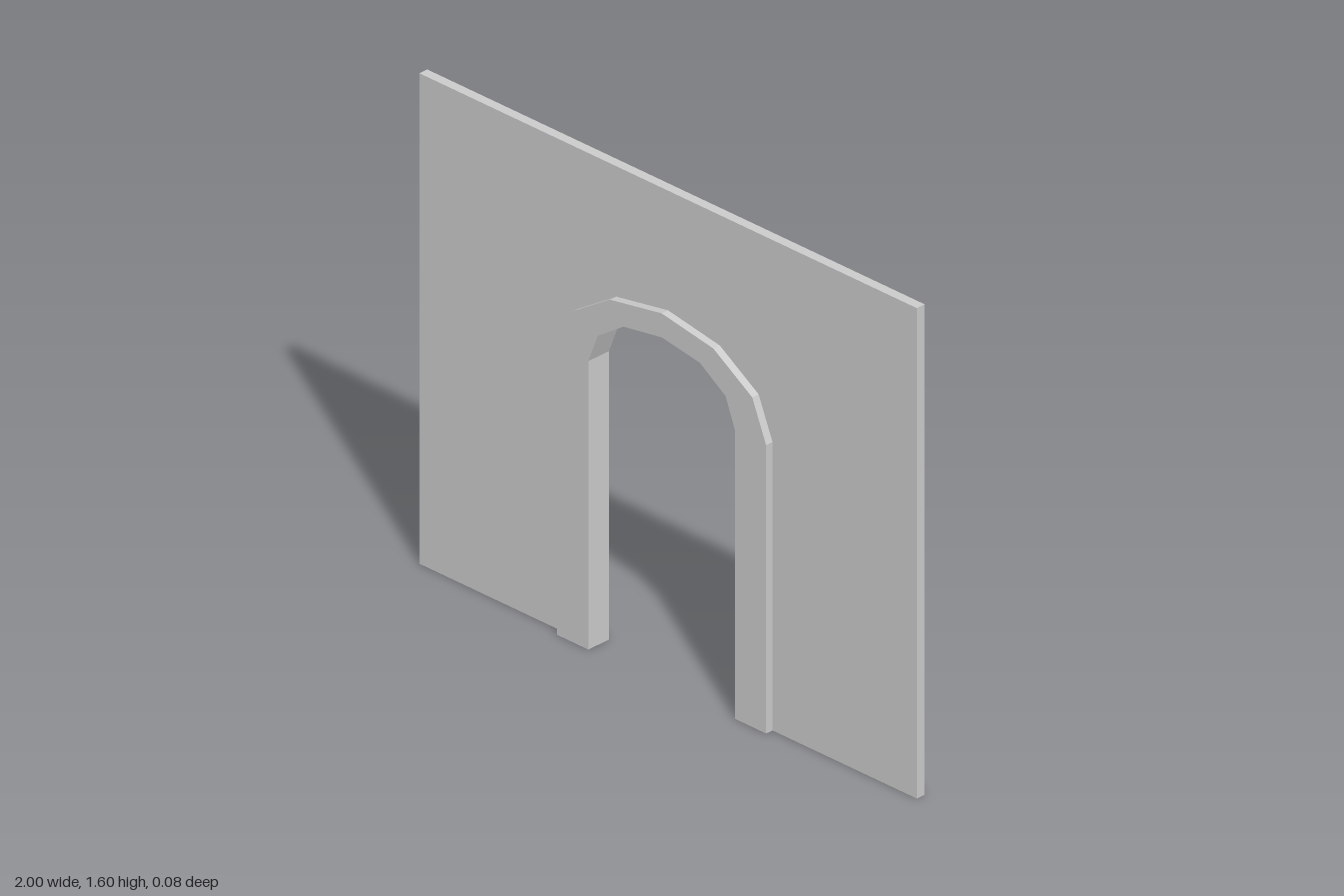
import * as THREE from 'three';

const material = new THREE.MeshStandardMaterial({
  color: 0xcccccc, flatShading: true, side: THREE.DoubleSide,
});

// Right half of each arch line, from the floor up to the crown
const OUTER = [[0.42, 0], [0.42, 0.938], [0.364, 1.072], [0.208, 1.171], [0, 1.206]];
const INNER = [[0.295, 0], [0.295, 0.938], [0.257, 1.035], [0.154, 1.104], [0, 1.128]];
const MIDDLE = OUTER.map(([x, y], i) => [(x + INNER[i][0]) / 2, (y + INNER[i][1]) / 2]);

// Mirrors a half line into a full arch running from +x to -x
function fullArch(half) {
  const mirrored = half.slice(0, -1).reverse().map(([x, y]) => [-x, y]);
  return [...half, ...mirrored];
}

// Extrudes an outline centred on z = 0, leaving the underside on the floor open
function slab(name, points, depth) {
  const shape = new THREE.Shape(points.map(([x, y]) => new THREE.Vector2(x, y)));
  const source = new THREE.ExtrudeGeometry(shape, { depth, bevelEnabled: false });
  source.translate(0, 0, -depth / 2);
  const p = source.attributes.position;
  const kept = [];
  for (let i = 0; i < p.count; i += 3) {
    if (Math.max(p.getY(i), p.getY(i + 1), p.getY(i + 2)) < 1e-4) continue;
    for (let k = i; k < i + 3; k++) kept.push(p.getX(k), p.getY(k), p.getZ(k));
  }
  const geometry = new THREE.BufferGeometry();
  geometry.setAttribute('position', new THREE.Float32BufferAttribute(kept, 3));
  geometry.computeVertexNormals();
  const mesh = new THREE.Mesh(geometry, material);
  mesh.name = name;
  return mesh;
}

export function createModel() {
  const group = new THREE.Group();
  group.name = 'archedDoorwayWall';

  // Thin wall panel, its opening hidden inside the door frame
  const wallOutline = [[-1, 0], ...fullArch(MIDDLE).reverse(), [1, 0], [1, 1.595], [-1, 1.595]];
  group.add(slab('wall', wallOutline, 0.032));

  // Thicker faceted frame around the doorway
  const frameOutline = [...fullArch(OUTER), ...fullArch(INNER).reverse()];
  group.add(slab('doorFrame', frameOutline, 0.084));

  return group;
}
